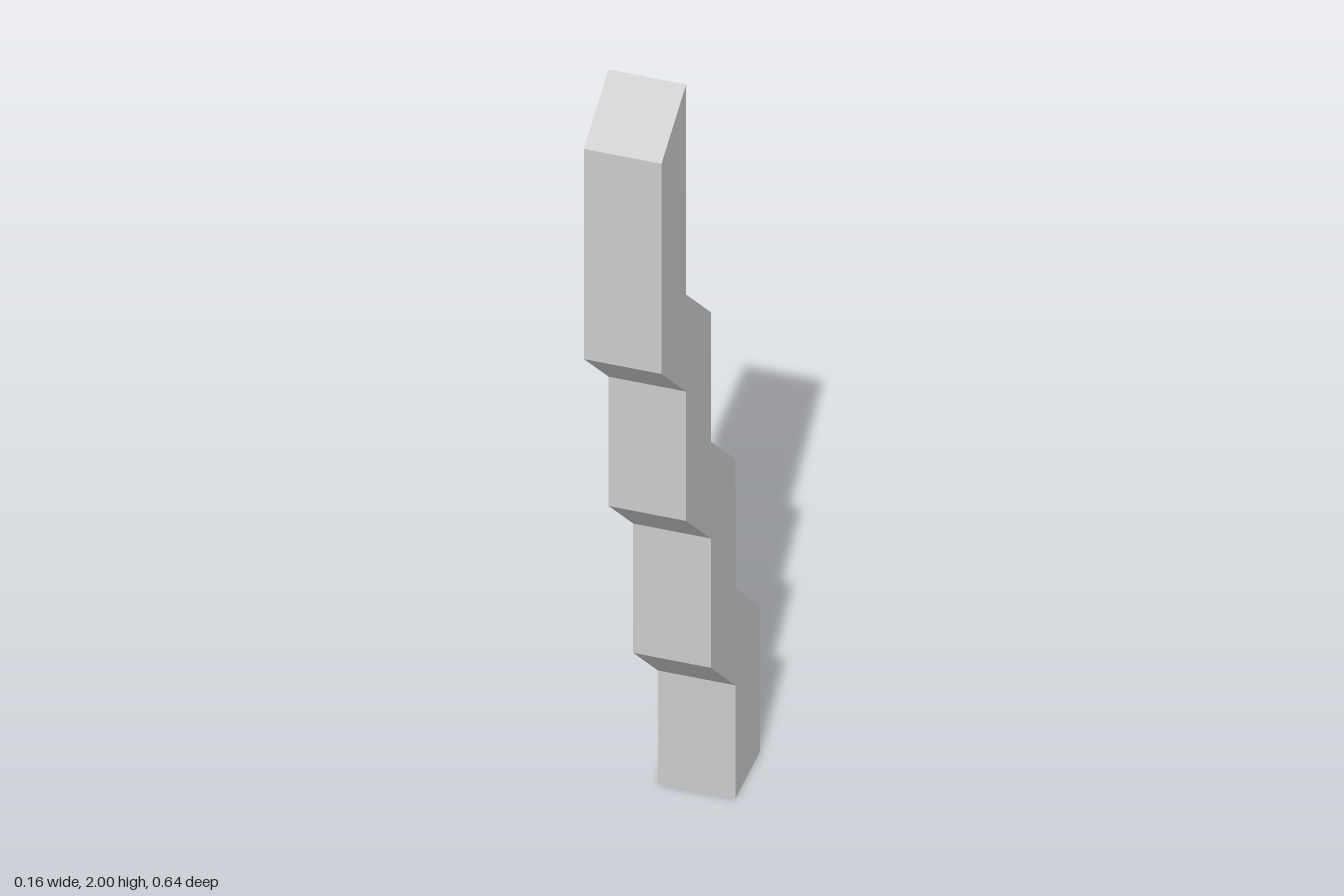
import * as THREE from 'three';

const STEP = 0.16;   // bar thickness and sideways shift of each bend
const PITCH = 0.48;  // height between bends
const BENDS = 3;

export function createModel() {
  const group = new THREE.Group();
  group.name = 'zigzagBar';

  // Side profile as (-z, y): up the front edge, then down the back edge
  const front = [[STEP, 0]];
  const back = [[2 * STEP, 0]];
  for (let i = 0; i < BENDS; i++) {
    const s = STEP * (1 - i);
    const y = PITCH * i;
    front.push([s, y + 0.28], [s - STEP, y + 0.44]);
    back.push([s + STEP, y + 0.36], [s, y + 0.52]);
  }
  // Slanted top end
  front.push([-2 * STEP, 1.92]);
  back.push([-STEP, 2]);

  const outline = [...front, ...back.reverse()].map(([s, y]) => new THREE.Vector2(s, y));
  const geometry = new THREE.ExtrudeGeometry(new THREE.Shape(outline), {
    depth: STEP, bevelEnabled: false,
  });
  geometry.translate(0, 0, -STEP / 2);
  geometry.rotateY(Math.PI / 2);

  const bar = new THREE.Mesh(
    geometry,
    new THREE.MeshStandardMaterial({ color: 0xcccccc, flatShading: true }),
  );
  bar.name = 'steppedBar';
  group.add(bar);
  return group;
}
